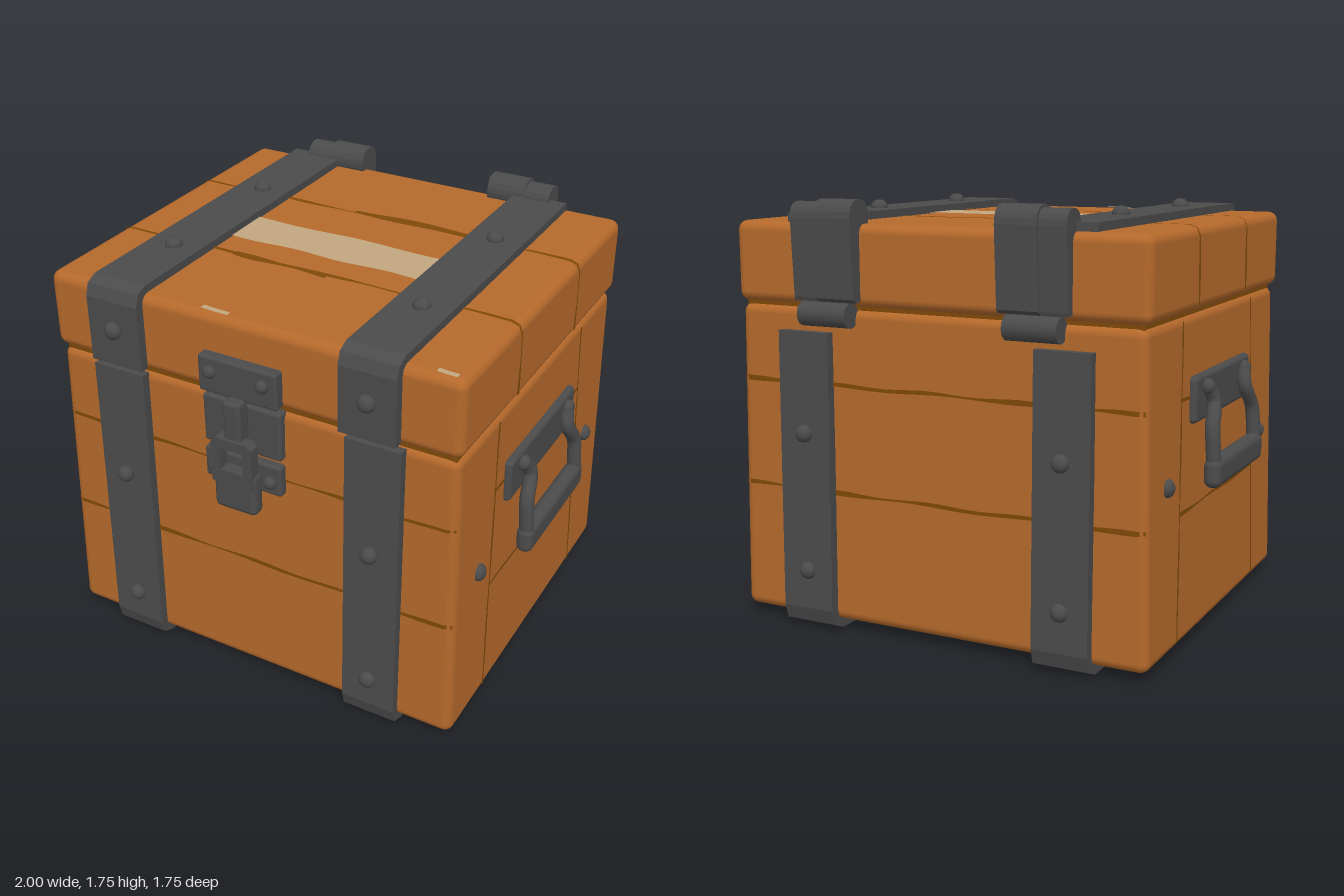
import * as THREE from 'three';
import { RoundedBoxGeometry } from 'three/addons/geometries/RoundedBoxGeometry.js';

const paint = (name, color) => {
  const m = new THREE.MeshStandardMaterial({ color });
  m.name = name;
  return m;
};

export function createModel() {
  const root = new THREE.Group();
  root.name = 'woodenChest';
  const wood = paint('orange wood', 0xb5692b);
  const groove = paint('dark groove', 0x7f4908);
  const metal = paint('dark iron', 0x4b4b4b);
  const pale = paint('worn wood', 0xc2a67f);
  groove.side = pale.side = THREE.DoubleSide;

  const add = (name, geo, mat, parent = root) => {
    const m = new THREE.Mesh(geo, mat);
    m.name = name;
    parent.add(m);
    return m;
  };
  // rounded box given by its extents
  const block = (name, [x0, x1], [y0, y1], [z0, z1], r, mat = metal, parent = root) => {
    const g = new RoundedBoxGeometry(x1 - x0, y1 - y0, z1 - z0, 3, r);
    g.translate((x0 + x1) / 2, (y0 + y1) / 2, (z0 + z1) / 2);
    return add(name, g, mat, parent);
  };
  // outline in (z, y), extruded along x
  const extrudeX = (name, shape, x, width, parent = root) => {
    const g = new THREE.ExtrudeGeometry(shape, { depth: width, bevelEnabled: false, curveSegments: 8 });
    g.translate(0, 0, -width / 2);
    g.rotateY(-Math.PI / 2);
    g.translate(x, 0, 0);
    return add(name, g, metal, parent);
  };
  // bent metal strip: a centre line in (z, y) thickened both ways
  const strap = (name, line, thick, x, width) => {
    const pts = line.map(p => new THREE.Vector2(...p));
    const side = s => pts.map((p, i) => {
      const d = pts[Math.min(i + 1, pts.length - 1)].clone().sub(pts[Math.max(i - 1, 0)]).normalize();
      return new THREE.Vector2(p.x - d.y * s, p.y + d.x * s);
    });
    return extrudeX(name, new THREE.Shape([...side(thick / 2), ...side(-thick / 2).reverse()]), x, width);
  };
  // uneven ribbon along a 3D path, widened along one direction
  const ribbon = (name, path, dir, width, seed, mat = groove, rough = 0.3) => {
    const pos = [], idx = [], d = new THREE.Vector3(...dir);
    const pts = path.map(p => new THREE.Vector3(...p));
    for (let i = 0; i < pts.length - 1; i++) {
      const n = Math.max(1, Math.ceil(pts[i].distanceTo(pts[i + 1]) / 0.06));
      for (let k = i ? 1 : 0; k <= n; k++) {
        const p = pts[i].clone().lerp(pts[i + 1], k / n), t = pos.length / 6 + seed * 7;
        const a = width * (0.5 + rough * Math.sin(t * 0.9)), b = width * (0.5 + rough * Math.sin(t * 0.63 + 2));
        pos.push(...p.clone().addScaledVector(d, a).toArray(), ...p.addScaledVector(d, -b).toArray());
      }
    }
    for (let j = 0; j < pos.length / 6 - 1; j++) idx.push(2 * j, 2 * j + 1, 2 * j + 2, 2 * j + 1, 2 * j + 3, 2 * j + 2);
    const g = new THREE.BufferGeometry();
    g.setAttribute('position', new THREE.Float32BufferAttribute(pos, 3));
    g.setIndex(idx);
    g.computeVertexNormals();
    return add(name, g, mat);
  };
  const rivet = (x, y, z, axis, r = 0.036, parent = root) => {
    const m = add('rivet', new THREE.SphereGeometry(r, 14, 10), metal, parent);
    m.position.set(x, y, z);
    m.scale[axis] = 0.85;
  };

  // body, tapering gently upwards
  const halfX = y => 0.906 - 0.025 * (y - 0.04) / 1.29;
  const frontZ = y => 0.78 - 0.02 * (y - 0.04) / 1.29;
  const backZ = y => -0.8 + 0.006 * (y - 0.04) / 1.29;
  const body = block('body', [-1, 1], [0.04, 1.327], [-1, 1], 0.04, wood).geometry;
  const bp = body.attributes.position;
  const edge = (v, lo, hi) => v > 0 ? hi - (1 - v) : lo + (1 + v);
  for (let i = 0; i < bp.count; i++) {
    const y = bp.getY(i), h = halfX(y);
    bp.setX(i, edge(bp.getX(i), -h, h));
    bp.setZ(i, edge(bp.getZ(i), backZ(y), frontZ(y)));
  }
  block('lidGap', [-0.865, 0.865], [1.29, 1.38], [-0.775, 0.745], 0.01, groove);
  block('lid', [-0.898, 0.892], [1.334, 1.658], [-0.803, 0.77], 0.04, wood);

  // plank grooves on the body
  const E = 0.004;
  [[1.02, 1], [0.58, 2]].forEach(([y, seed]) => {
    const h = halfX(y);
    for (const [z, s] of [[frontZ(y), 1], [backZ(y), -1]]) {
      ribbon('plankGroove', [
        [-h + 0.008, y, z - s * 0.012], [-h + 0.04, y, z + s * E],
        [h - 0.04, y, z + s * E], [h - 0.008, y, z - s * 0.012]], [0, 1, 0], 0.014, seed + s);
    }
    for (const s of [-1, 1]) {
      const x = s * (h + E), w = 0.045 - 0.03 * (y - 0.58);
      ribbon('sideGroove', [[x, y - 0.01, 0.405 + w], [x, y - 0.01, -0.42 - w]], [0, 1, 0], 0.012, seed);
    }
  });
  for (const s of [-1, 1]) {
    for (const [top, low] of [[0.415, 0.47], [-0.43, -0.49]]) {
      ribbon('postGroove', [[s * (halfX(1.3) + E), 1.31, top], [s * (halfX(0.07) + E), 0.07, low]], [0, 0, 1], 0.013, 3, groove, 0.15);
    }
    ribbon('bottomGroove', [[-0.87, 0.036, s * 0.28], [0.87, 0.036, s * 0.28]], [0, 0, 1], 0.02, 4 + s);
  }

  // plank grooves over the lid
  for (const [z, seed] of [[-0.305, 5], [0.28, 8]]) {
    ribbon('lidGroove', [
      [-0.902, 1.36, z], [-0.902, 1.618, z], [-0.89, 1.65, z], [-0.858, 1.662, z],
      [0.852, 1.662, z], [0.884, 1.65, z], [0.896, 1.618, z], [0.896, 1.36, z]], [0, 0, 1], 0.015, seed);
  }
  ribbon('wornGroove', [[-0.12, 1.663, -0.318], [0.42, 1.663, -0.325]], [0, 0, 1], 0.03, 2);
  ribbon('wornGroove', [[-0.35, 1.663, 0.287], [0.08, 1.663, 0.292]], [0, 0, 1], 0.026, 4);

  // worn pale strip and chips
  ribbon('wornStrip', [[-0.46, 1.663, 0.04], [0.43, 1.663, 0.04]], [0, 0, 1], 0.21, 3, pale, 0.03);
  for (const [x, w] of [[-0.14, 0.06], [0.81, 0.04]]) {
    ribbon('chip', [[x - w, 1.662, 0.73], [x + w, 1.662, 0.73]], [0, 0, 1], 0.024, 6, pale);
  }

  // straps with rivets and hinges
  for (const [xBody, xLid, xHinge, s] of [[-0.572, -0.567, -0.457, -1], [0.556, 0.537, 0.44, 1]]) {
    strap('bodyStrap', [[0.778, 1.32], [0.797, 0.09], [0.785, 0.042], [0.74, 0.022],
      [-0.77, 0.022], [-0.815, 0.042], [-0.828, 0.09], [-0.81, 1.23]], 0.042, xBody, 0.232);
    strap('lidStrap', [[0.79, 1.345], [0.79, 1.62], [0.778, 1.657], [0.745, 1.671], [-0.77, 1.671]], 0.04, xLid, 0.235);
    rivet(xLid, 1.5, 0.815, 'z');
    for (const z of [-0.28, 0.39]) rivet(xLid, 1.695, z, 'y');
    for (const y of [0.84, 0.22]) rivet(xBody, y, 0.82, 'z');
    for (const y of [0.82, 0.25]) rivet(xBody, y, -0.845, 'z');

    const hinge = new THREE.Group();
    hinge.name = 'hinge';
    root.add(hinge);
    const leaf = k => {
      const c = new THREE.Shape();
      c.moveTo(-0.8, 1.36);
      c.lineTo(-0.8, 1.62);
      c.bezierCurveTo(-0.73, 1.62, -0.715, 1.7, -0.76, 1.745 - k);
      c.bezierCurveTo(-0.8, 1.76 - k, -0.865 + k, 1.76 - k, -0.868 + k, 1.68);
      c.lineTo(-0.852 + k, 1.37);
      c.lineTo(-0.835, 1.355);
      c.closePath();
      return c;
    };
    extrudeX('hingeLeaf', leaf(0), xHinge - s * 0.055, 0.17, hinge);
    extrudeX('hingeLeaf', leaf(0.012), xHinge + s * 0.085, 0.115, hinge);
    const pin = add('hingePin', new THREE.CylinderGeometry(0.05, 0.05, 0.22, 16), metal, hinge);
    pin.rotation.z = Math.PI / 2;
    pin.position.set(xHinge, 1.305, -0.825);
  }

  // side handles
  for (const s of [-1, 1]) {
    const handle = new THREE.Group();
    handle.name = 'handle';
    root.add(handle);
    const span = (a, b) => s > 0 ? [a, b] : [-b, -a];
    block('handlePlate', span(0.87, 0.915), [0.9, 1.085], [-0.345, 0.335], 0.02, metal, handle);
    const path = [[0.925, 1.03, 0.22], [0.94, 0.97, 0.2], [0.955, 0.88, 0.255], [0.962, 0.8, 0.262], [0.968, 0.7, 0.258]];
    for (const f of [-1, 1]) {
      const arm = new THREE.CatmullRomCurve3(path.map(([x, y, z]) => new THREE.Vector3(s * x, y, f * z - 0.008)));
      add('handleArm', new THREE.TubeGeometry(arm, 20, 0.03, 10), metal, handle);
      rivet(s * 0.925, 1.035, f * 0.235 - 0.005, 'x', 0.033, handle);
    }
    block('handleGrip', span(0.93, 1.0), [0.64, 0.76], [-0.305, 0.288], 0.033, metal, handle);
    for (const z of [0.55, -0.59]) rivet(s * 0.893, 0.705, z, 'x');
  }

  // front lock
  const lock = new THREE.Group();
  lock.name = 'lock';
  root.add(lock);
  block('upperLockPlate', [-0.18, 0.165], [1.35, 1.505], [0.76, 0.815], 0.012, metal, lock);
  block('middleLockPlate', [-0.18, 0.165], [1.115, 1.325], [0.74, 0.795], 0.012, metal, lock);
  block('lowerLockPlate', [-0.18, 0.165], [0.955, 1.09], [0.74, 0.8], 0.012, metal, lock);
  for (const f of [-1, 1]) {
    rivet(f * 0.115 - 0.01, 1.445, 0.82, 'z', 0.027, lock);
    rivet(f * 0.125 - 0.008, 1.015, 0.805, 'z', 0.027, lock);
  }
  block('hasp', [-0.048, 0.027], [1.15, 1.36], [0.79, 0.86], 0.015, metal, lock);
  const ring = new THREE.Shape([[-0.1, 1.0], [0.08, 1.0], [0.08, 1.18], [0.06, 1.2], [-0.08, 1.2], [-0.1, 1.18]].map(p => new THREE.Vector2(...p)));
  ring.holes.push(new THREE.Path([[-0.06, 1.06], [-0.06, 1.155], [0.04, 1.155], [0.04, 1.06]].map(p => new THREE.Vector2(...p))));
  const ringGeo = new THREE.ExtrudeGeometry(ring, { depth: 0.05, bevelEnabled: false });
  ringGeo.translate(0, 0, 0.822);
  add('lockRing', ringGeo, metal, lock);
  block('lockBody', [-0.102, 0.088], [0.873, 1.06], [0.8, 0.868], 0.025, metal, lock);

  return root;
}
